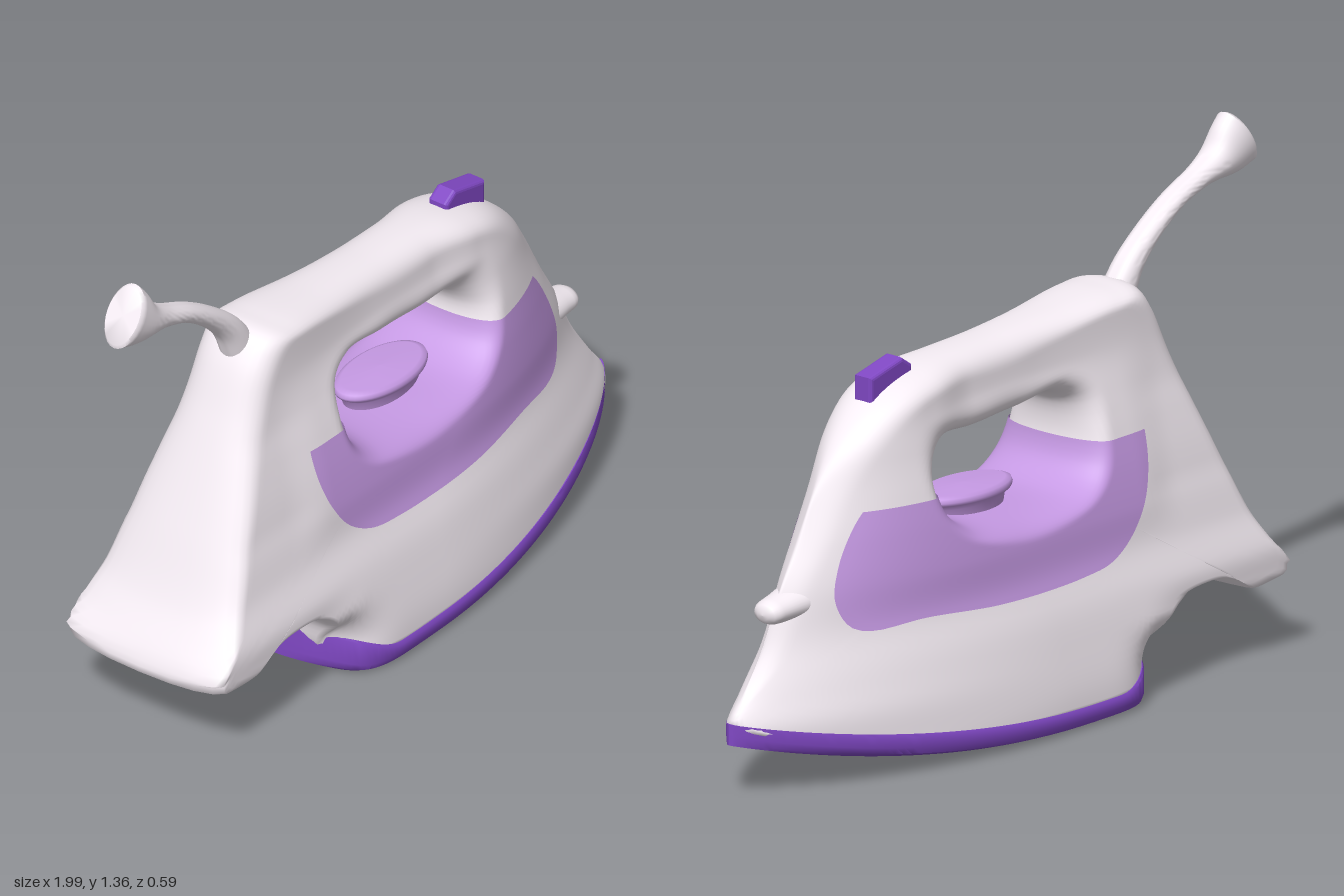
import * as THREE from 'three';
import { toCreasedNormals } from 'three/addons/utils/BufferGeometryUtils.js';

const shell = new THREE.MeshStandardMaterial({ color: 0xf4ecf3 });
const dark = new THREE.MeshStandardMaterial({ color: 0x8048c4 });
const lilac = new THREE.MeshStandardMaterial({ color: 0xc69ae4, side: THREE.DoubleSide });
const { smoothstep, lerp, clamp } = THREE.MathUtils;

// Centre of the handle opening; the body is swept around it
const CX = 0.06, CY = 0.68;

const curve = (pts, closed) =>
  new THREE.CatmullRomCurve3(pts.map(([x, y]) => new THREE.Vector3(x, y, 0)), closed, 'centripetal');

// Smooth table lookup
function lookup(t, x) {
  const n = t.length - 1;
  if (x <= t[0][0]) return t[0][1];
  if (x >= t[n][0]) return t[n][1];
  let i = 0;
  while (x > t[i + 1][0]) i++;
  const slope = k => {
    const a = t[Math.max(k - 1, 0)], b = t[Math.min(k + 1, n)];
    return (b[1] - a[1]) / (b[0] - a[0]);
  };
  const h = t[i + 1][0] - t[i][0], u = (x - t[i][0]) / h, v = 1 - u;
  return t[i][1] * v * v * (1 + 2 * u) + t[i + 1][1] * u * u * (3 - 2 * u)
    + h * (slope(i) * u * v * v - slope(i + 1) * u * u * v);
}

// Skin over a row of cross-sections
function loft(rings, closeI, closeJ) {
  const n = rings.length, m = rings[0].length, index = [];
  for (let i = 0; i < (closeI ? n : n - 1); i++) {
    for (let j = 0; j < (closeJ ? m : m - 1); j++) {
      const i2 = (i + 1) % n, j2 = (j + 1) % m;
      const a = i * m + j, b = i2 * m + j, c = i2 * m + j2, d = i * m + j2;
      index.push(a, d, c, a, c, b);
    }
  }
  const geo = new THREE.BufferGeometry();
  geo.setAttribute('position', new THREE.Float32BufferAttribute(rings.flat(2), 3));
  geo.setIndex(index);
  geo.computeVertexNormals();
  return geo;
}

// Distance from the centre to an outline in a given direction
function radiusAt(line, angle) {
  const dx = Math.cos(angle), dy = Math.sin(angle);
  let best = Infinity;
  for (let k = 0; k < line.length - 1; k++) {
    const ax = line[k].x - CX, ay = line[k].y - CY;
    const ex = line[k + 1].x - line[k].x, ey = line[k + 1].y - line[k].y;
    const det = dx * ey - dy * ex;
    if (Math.abs(det) < 1e-12) continue;
    const r = (ax * ey - ay * ex) / det, u = (ax * dy - ay * dx) / det;
    if (r > 0 && u > -1e-5 && u < 1 + 1e-5) best = Math.min(best, r);
  }
  return best;
}

const outer = curve([[0.99, 0.185], [0.95, 0.25], [0.875, 0.36], [0.805, 0.5], [0.745, 0.6], [0.675, 0.73],
  [0.585, 0.85], [0.47, 0.94], [0.32, 0.985], [0, 1.003], [-0.2, 1.015], [-0.4, 1.03], [-0.48, 1.025],
  [-0.53, 0.97], [-0.6, 0.82], [-0.72, 0.55], [-0.8, 0.37], [-0.88, 0.235], [-0.885, 0.2], [-0.83, 0.185],
  [-0.76, 0.18], [-0.66, 0.235], [-0.58, 0.245], [-0.45, 0.225], [-0.385, 0.16], [-0.35, 0.06],
  [-0.2, 0.04], [0, 0.04], [0.4, 0.06], [0.8, 0.125]], true).getSpacedPoints(280);
const hole = curve([[-0.22, 0.7], [-0.2, 0.62], [-0.13, 0.57], [0.1, 0.56], [0.25, 0.58], [0.325, 0.64],
  [0.335, 0.72], [0.27, 0.79], [0.15, 0.79], [0, 0.8], [-0.13, 0.815], [-0.2, 0.78]], true).getSpacedPoints(120);
const panelEdge = curve([[-0.4, 0.7], [-0.4, 0.66], [-0.39, 0.59], [-0.36, 0.51], [-0.3, 0.43], [-0.22, 0.385],
  [-0.1, 0.37], [0.2, 0.37], [0.45, 0.385], [0.62, 0.38], [0.67, 0.4], [0.7, 0.47], [0.68, 0.55],
  [0.63, 0.64], [0.58, 0.7]], false).getSpacedPoints(140);

// Half-width of the body: flared toward the base, pointed at the nose, rounded at the heel
const flare = [[0, 0.288], [0.1, 0.284], [0.2, 0.268], [0.3, 0.247], [0.4, 0.214], [0.5, 0.203], [0.6, 0.185],
  [0.7, 0.161], [0.8, 0.135], [0.9, 0.118], [1.03, 0.117]];
const front = [[0.1, 1], [0.18, 1], [0.25, 0.95], [0.36, 0.87], [0.5, 0.805], [0.6, 0.75], [0.73, 0.68],
  [0.85, 0.64], [1.03, 0.58]];
const taper = u => Math.pow(1 - Math.pow(1 - clamp(u, 0, 1), 2), 0.75);
const heel = x => Math.sqrt(Math.max(0, 1 - Math.pow(Math.max(0, (-0.1 - x) / 0.28), 4)));
function halfWidth(x, y) {
  const length = lerp(1, 0.24, smoothstep(y, 0.1, 0.95));
  const foot = 0.06 * smoothstep(-x, 0.3, 0.5) * (1 - smoothstep(y, 0.2, 0.3));
  const waist = 0.07 * smoothstep(-x, 0.35, 0.5) * smoothstep(y, 0.4, 0.55) * (1 - smoothstep(y, 0.75, 0.93));
  const grip = 0.16 * smoothstep(x, -0.45, -0.05) * (1 - smoothstep(x, 0.18, 0.34)) * smoothstep(y, 0.75, 0.9);
  const back = lerp(Math.max(0.6, heel(x)), 1, smoothstep(y, 0.09, 0.22));
  return lookup(flare, y) * (1 - foot - waist - grip) * back * taper((lookup(front, y) + 0.004 - x) / length);
}

// Point on the skin: direction, distance from the centre, inner and outer limits
const rounded = (d, r, p) => d >= r ? 1 : Math.pow(Math.max(0, 1 - Math.pow(1 - Math.max(d, 0) / r, p)), 1 / p);
function skin(angle, rho, rIn, rOut) {
  const x = CX + rho * Math.cos(angle), y = CY + rho * Math.sin(angle);
  const ox = CX + rOut * Math.cos(angle), oy = CY + rOut * Math.sin(angle);
  const edge = oy < 0.22 ? lerp(0.012, 0.045, smoothstep(-ox, 0.6, 0.8)) : lerp(0.012, 0.07, smoothstep(oy, 0.22, 0.3));
  // Softer lip under the grip, softest where the grip meets the front column
  const scoop = 0.05 * Math.exp(-Math.pow((Math.atan2(Math.sin(angle), Math.cos(angle)) - 0.55) / 0.4, 2));
  const lip = lerp(0.06, 0.09, smoothstep(Math.sin(angle), 0, 0.5)) + scoop;
  const z = halfWidth(x, y) * rounded(rho - rIn, lip, 2.2) * rounded(rOut - rho, edge, 2.3);
  return [x, y, z];
}

function bodyGeometry() {
  const N = 30;
  const angles = outer.slice(0, -1).map(p => Math.atan2(p.y - CY, p.x - CX)).sort((a, b) => a - b);
  return loft(angles.map(angle => {
    const rIn = radiusAt(hole, angle), rOut = radiusAt(outer, angle), ring = [];
    for (let j = 0; j < 2 * N; j++) {
      const s = (1 - Math.cos(Math.PI * j / N)) / 2;
      const [x, y, z] = skin(angle, rIn + (rOut - rIn) * s, rIn, rOut);
      ring.push([x, y, j % N === 0 ? 0 : j < N ? z : -z]);
    }
    return ring;
  }), true, true);
}

// Tinted panel lying on the skin, wrapping through the floor of the opening
function panelGeometry() {
  const rings = [], N = 28, lift = 0.004;
  for (let i = 0; i <= 120; i++) {
    const angle = Math.PI * (1 + i / 120), ring = [];
    const rIn = radiusAt(hole, angle), rOut = radiusAt(outer, angle), rEnd = radiusAt(panelEdge, angle);
    for (let j = -N; j <= N; j++) {
      const q = Math.abs(j / N), rho = rIn + (rEnd - rIn) * q * q;
      const [x, y, z] = skin(angle, rho, rIn, rOut);
      const inset = lift * (1 - q);
      ring.push([x - inset * Math.cos(angle), y - inset * Math.sin(angle), Math.sign(j) * (z + lift)]);
    }
    rings.push(ring);
  }
  return loft(rings, false, false);
}

// Soleplate: pointed, upswept at the nose, rising again behind the heel
function soleGeometry() {
  const rings = [];
  for (let i = 0; i <= 80; i++) {
    const x = 0.31 - 0.69 * Math.cos(Math.PI * i / 80);
    const p = 0.294 * taper(1 - x) * heel(x);
    const rise = Math.max(0, (x + 0.1) / 1.1);
    const y0 = 0.14 * rise ** 2 + 0.02 * smoothstep(-x, 0.28, 0.38);
    const y1 = 0.055 + 0.14 * rise ** 1.8 + 0.065 * smoothstep(-x, 0.18, 0.38);
    const half = [[0.9, y0], [0.97, y0 + 0.008], [1, y0 + 0.025], [1, y1 - 0.008], [0.98, y1]];
    rings.push([...half.map(([k, y]) => [x, y, -k * p]), ...half.reverse().map(([k, y]) => [x, y, k * p])]);
  }
  return toCreasedNormals(loft(rings, false, true), 0.7);
}

// Cord with a flared end; radii are [in plane, sideways]
function cordGeometry() {
  const path = curve([[-0.48, 0.97], [-0.53, 1.05], [-0.6, 1.115], [-0.7, 1.18], [-0.8, 1.22], [-0.88, 1.25],
    [-0.945, 1.29]], false);
  const inPlane = [[0, 0.05], [0.2, 0.034], [0.4, 0.027], [0.65, 0.027], [0.8, 0.04], [0.92, 0.072], [1, 0.086]];
  const sideways = [[0, 0.045], [0.3, 0.038], [0.7, 0.038], [0.85, 0.05], [1, 0.055]];
  const rings = [];
  for (let i = 0; i <= 42; i++) {
    const t = Math.min(i / 40, 1), k = i === 41 ? 0.9 : i === 42 ? 0 : 1;
    const c = path.getPointAt(t), d = path.getTangentAt(t), ring = [];
    const push = i > 40 ? 0.008 : 0;
    for (let j = 0; j < 28; j++) {
      const a = j / 28 * Math.PI * 2;
      const u = k * lookup(inPlane, t) * Math.cos(a), w = k * lookup(sideways, t) * Math.sin(a);
      ring.push([c.x + d.x * push - d.y * u, c.y + d.y * push + d.x * u, w]);
    }
    rings.push(ring);
  }
  return toCreasedNormals(loft(rings, false, true), 0.9);
}

function sliderGeometry() {
  const s = new THREE.Shape([[0.34, 0.95], [0.48, 0.925], [0.48, 0.985], [0.37, 1.01], [0.34, 0.99]]
    .map(([x, y]) => new THREE.Vector2(x, y)));
  return new THREE.ExtrudeGeometry(s, { depth: 0.04, bevelThickness: 0.01, bevelSize: 0.01, bevelSegments: 3 })
    .translate(0, 0, -0.02);
}

const lathe = (pts, segments) => new THREE.LatheGeometry(pts.map(([r, y]) => new THREE.Vector2(r, y)), segments);

export function createModel() {
  const model = new THREE.Group();
  const add = (name, geo, mat, x = 0, y = 0) => {
    const mesh = new THREE.Mesh(geo, mat);
    mesh.name = name;
    mesh.position.set(x, y, 0);
    model.add(mesh);
  };
  add('body', bodyGeometry(), shell);
  add('sidePanel', panelGeometry(), lilac);
  add('soleplate', soleGeometry(), dark);
  add('cord', cordGeometry(), shell);
  add('steamSlider', sliderGeometry(), dark);

  // Oval dial, overhanging its narrower foot
  add('dial', lathe([[0.8, -0.05], [0.84, -0.015], [0.98, 0], [1, 0.008], [0.97, 0.018], [0.85, 0.024], [0, 0.028]], 48)
    .scale(0.16, 1, 0.085), lilac, 0.1, 0.597);

  // Spray nozzle: a short stubby horn with a rounded tip
  add('sprayNozzle', lathe([[0.045, -0.08], [0.042, -0.03], [0.036, 0.01], [0.033, 0.04], [0.031, 0.055],
    [0.025, 0.068], [0.013, 0.076], [0, 0.078]], 32).scale(1, 1, 1.4).rotateZ(-Math.PI / 2 - 0.1), shell, 0.795, 0.46);
  return model;
}
